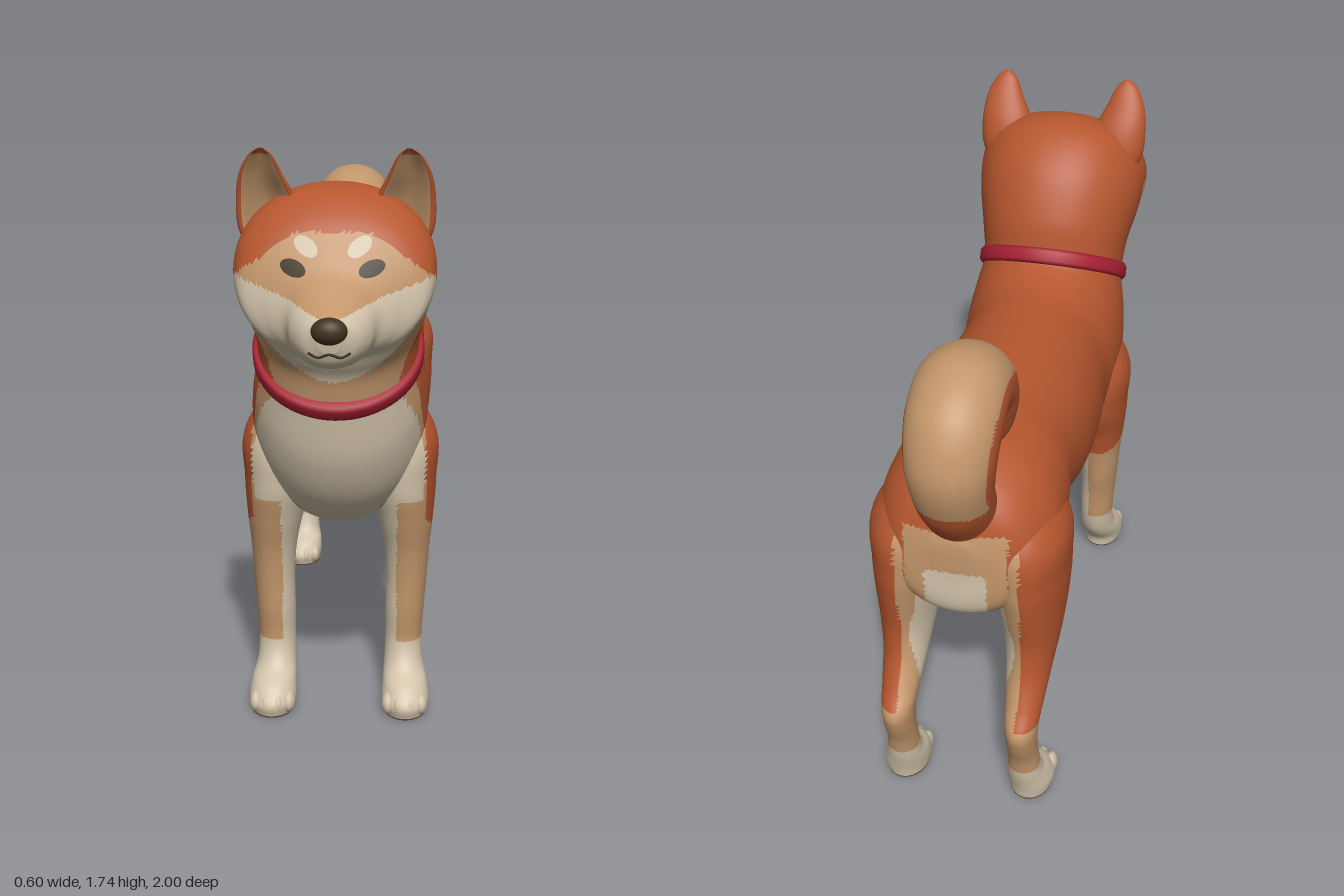
import * as THREE from 'three';

const mat = (name, color) => Object.assign(new THREE.MeshStandardMaterial({ color }), { name });
const rust = mat('rust fur', 0xb5562e);
const tan = mat('tan fur', 0xc2956a);
const cream = mat('cream fur', 0xd2c3aa);
const red = mat('collar red', 0xa62032);
const dark = mat('dark brown', 0x40331f);
const pad = mat('paw pad', 0x84644a);
const FUR = [rust, tan, cream, pad];
const RUST = 0, TAN = 1, CREAM = 2, PAD = 3;

// Smooth skin over elliptical rings. Each section: [x, topY, topZ, bottomY, bottomZ, halfWidth].
// paint(x, y, z, angle) picks the fur colour of every face.
function loft(name, sections, rows, seg, paint, shape = a => [Math.cos(a), Math.sin(a)]) {
  const tops = new THREE.CatmullRomCurve3(sections.map(s => new THREE.Vector3(s[0], s[1], s[2])), false, 'catmullrom');
  const bots = new THREE.CatmullRomCurve3(sections.map(s => new THREE.Vector3(s[5], s[3], s[4])), false, 'catmullrom');
  const pos = [], buckets = FUR.map(() => []);
  for (let i = 0; i <= rows; i++) {
    const t = tops.getPoint(i / rows), b = bots.getPoint(i / rows);
    for (let j = 0; j < seg; j++) {
      const [c, s] = shape((j / seg) * Math.PI * 2);
      pos.push(t.x + b.x * c, (t.y + b.y) / 2 + (t.y - b.y) / 2 * s, (t.z + b.z) / 2 + (t.z - b.z) / 2 * s);
    }
  }
  const capStart = pos.length / 3;
  for (const i of [0, 1]) {
    const t = tops.getPoint(i), b = bots.getPoint(i);
    pos.push(t.x, (t.y + b.y) / 2, (t.z + b.z) / 2);
  }
  const face = (a, b, c, angle) => {
    const mid = [0, 1, 2].map(k => (pos[a * 3 + k] + pos[b * 3 + k] + pos[c * 3 + k]) / 3);
    buckets[paint(...mid, angle)].push(a, b, c);
  };
  for (let j = 0; j < seg; j++) {
    const k = (j + 1) % seg, angle = ((j + 0.5) / seg) * Math.PI * 2;
    for (let i = 0; i < rows; i++) {
      const a = i * seg + j, b = i * seg + k;
      face(a, b, b + seg, angle);
      face(a, b + seg, a + seg, angle);
    }
    face(capStart, k, j, angle);
    face(capStart + 1, rows * seg + j, rows * seg + k, angle);
  }
  const geo = new THREE.BufferGeometry();
  geo.setAttribute('position', new THREE.Float32BufferAttribute(pos, 3));
  geo.setIndex(buckets.flat());
  let start = 0;
  buckets.forEach((list, m) => {
    if (list.length) geo.addGroup(start, list.length, m);
    start += list.length;
  });
  geo.computeVertexNormals();
  const mesh = new THREE.Mesh(geo, FUR);
  mesh.name = name;
  return mesh;
}

// Horizontal ring for legs and ears: y, x, z, half width, half depth
const ring = side => ([y, x, z, rx, rz]) => [side * x, y, z + rz, y, z - rz, rx];

function paintBody(px, y, z) {
  const x = Math.abs(px);
  if ((y - 1.145) * 0.83 + (z - 0.47) * 0.56 > 0) { // head
    if (z < 0.61 || y > 1.53 - 0.7 * Math.max(0, x - 0.1)) return RUST;
    if (z > 0.69 && y < 1.33 + 0.3 * x) return CREAM;
    return TAN;
  }
  if (z > 0.25) { // chest
    if (z > 0.47 + Math.max(0, y - 0.9) * 0.9 || y < 0.65) return CREAM;
    return z > 0.42 + Math.max(0, y - 0.85) * 0.5 || y < 0.7 ? TAN : RUST;
  }
  if (z < -0.76 && x < 0.15 && y < 1.03) return x < 0.09 && y < 0.9 ? CREAM : TAN;
  const line = 0.725 - 0.12 * z; // belly
  return y < line - 0.06 ? CREAM : y < line ? TAN : RUST;
}

function paintFrontLeg(px, y, z) {
  const x = Math.abs(px);
  if (y < 0.004) return PAD;
  if (y < 0.2 || (x < 0.175 && y < 0.68)) return CREAM;
  if (y > 0.68 && z > 0.46) return CREAM;
  return y < 0.57 + (z - 0.36) * 0.5 || (z > 0.43 && x < 0.26) ? TAN : RUST;
}

function paintHindLeg(px, y, z) {
  const x = Math.abs(px);
  if (y < 0.004) return PAD;
  if (y < 0.15 + Math.max(0, z + 0.85) * 0.5) return CREAM;
  if (x < 0.165 && y < 0.82) return z < -0.83 && x > 0.13 ? TAN : CREAM;
  if (z < -0.78 && x < 0.18 && y < 1) return TAN;
  return y > 0.36 + Math.max(0, z + 0.83) * 1.25 ? RUST : TAN;
}

export function createModel() {
  const dog = new THREE.Group();
  dog.name = 'dog';
  const add = (name, geo, material) => {
    const m = new THREE.Mesh(geo, material);
    m.name = name;
    dog.add(m);
    return m;
  };

  // Rump, trunk, neck, head and muzzle in one skin: topY, topZ, bottomY, bottomZ, half width
  const body = loft('body', [
    [1.0, -0.885, 0.9, -0.885, 0.05], [1.13, -0.83, 0.75, -0.87, 0.19], [1.2, -0.7, 0.69, -0.75, 0.26],
    [1.22, -0.55, 0.71, -0.58, 0.26], [1.22, -0.4, 0.72, -0.42, 0.245], [1.22, -0.2, 0.645, -0.2, 0.26],
    [1.22, 0, 0.6, 0, 0.258], [1.225, 0.12, 0.575, 0.2, 0.248], [1.24, 0.19, 0.59, 0.4, 0.262],
    [1.255, 0.23, 0.68, 0.54, 0.262], [1.265, 0.25, 0.83, 0.63, 0.25], [1.285, 0.27, 1.01, 0.67, 0.234],
    [1.4, 0.3, 1.1, 0.69, 0.243], [1.54, 0.38, 1.15, 0.72, 0.265], [1.63, 0.5, 1.18, 0.74, 0.277],
    [1.635, 0.62, 1.19, 0.76, 0.276], [1.57, 0.72, 1.19, 0.79, 0.25], [1.48, 0.785, 1.19, 0.82, 0.18],
    [1.425, 0.83, 1.19, 0.86, 0.128], [1.375, 0.9, 1.195, 0.91, 0.105], [1.345, 0.955, 1.215, 0.95, 0.075],
    [1.32, 0.98, 1.25, 0.97, 0.03],
  ].map(s => [0, ...s]), 190, 96, paintBody, a => [Math.cos(a), Math.sin(a)].map(v => Math.sign(v) * Math.abs(v) ** 0.95));
  dog.add(body);

  for (const side of [1, -1]) {
    const label = side > 0 ? 'left' : 'right';
    dog.add(loft(label + 'FrontLeg', [
      [1.05, 0.13, 0.33, 0.05, 0.06], [0.87, 0.18, 0.34, 0.11, 0.15], [0.72, 0.19, 0.345, 0.103, 0.15],
      [0.6, 0.2, 0.355, 0.085, 0.115], [0.5, 0.205, 0.355, 0.07, 0.092], [0.4, 0.205, 0.357, 0.063, 0.08],
      [0.3, 0.2, 0.365, 0.06, 0.07], [0.2, 0.197, 0.367, 0.057, 0.063], [0.13, 0.198, 0.39, 0.06, 0.07],
      [0.085, 0.203, 0.435, 0.068, 0.09], [0.04, 0.205, 0.47, 0.073, 0.092], [0, 0.205, 0.47, 0.066, 0.085],
    ].map(ring(side)), 90, 48, paintFrontLeg));
    dog.add(loft(label + 'HindLeg', [
      [1.12, 0.12, -0.68, 0.05, 0.06], [0.97, 0.165, -0.68, 0.118, 0.18], [0.83, 0.178, -0.675, 0.113, 0.197],
      [0.72, 0.185, -0.68, 0.102, 0.178], [0.6, 0.19, -0.705, 0.085, 0.135], [0.5, 0.19, -0.752, 0.07, 0.1],
      [0.41, 0.19, -0.825, 0.058, 0.072], [0.345, 0.19, -0.872, 0.05, 0.072], [0.28, 0.19, -0.872, 0.047, 0.062],
      [0.2, 0.19, -0.852, 0.047, 0.052], [0.12, 0.192, -0.832, 0.053, 0.058], [0.08, 0.195, -0.8, 0.065, 0.08],
      [0.04, 0.2, -0.778, 0.072, 0.092], [0, 0.2, -0.778, 0.066, 0.085],
    ].map(ring(side)), 100, 48, paintHindLeg));

    // Toes
    for (const z of [0.53, -0.715]) {
      for (const dx of [-0.05, -0.018, 0.018, 0.05]) {
        const toe = add(label + 'Toe', new THREE.SphereGeometry(1, 14, 10), cream);
        toe.scale.set(0.021, 0.034, 0.038);
        toe.position.set(side * 0.203 + dx, 0.036, z - Math.abs(dx) * 0.4);
      }
    }

    // Ear with a hollow tan inside
    dog.add(loft(label + 'Ear', [
      [1.743, 0.2, 0.672, 0.008, 0.008], [1.722, 0.202, 0.662, 0.034, 0.018], [1.67, 0.203, 0.64, 0.06, 0.033],
      [1.6, 0.192, 0.615, 0.082, 0.05], [1.52, 0.185, 0.6, 0.086, 0.06], [1.45, 0.17, 0.59, 0.07, 0.05],
    ].map(ring(side)), 40, 40,
    (x, y, z, a) => (Math.sin(a) > 0.55 && y < 1.725 ? TAN : RUST),
    a => {
      const s = Math.sin(a);
      return [Math.cos(a), s > 0 ? s * (1 - 1.5 * s * s) : s];
    }));
  }

  // Curled tail: path y, z, radius
  const path = [
    [1.06, -0.79, 0.1], [1.17, -0.86, 0.105], [1.28, -0.882, 0.115], [1.375, -0.84, 0.122], [1.42, -0.75, 0.123],
    [1.39, -0.665, 0.122], [1.31, -0.628, 0.116], [1.235, -0.645, 0.095], [1.2, -0.7, 0.05], [1.2, -0.73, 0.015],
  ];
  dog.add(loft('tail', path.map(([y, z, r], i) => {
    const p = path[Math.max(0, i - 1)], n = path[Math.min(path.length - 1, i + 1)];
    const dy = n[0] - p[0], dz = n[1] - p[1], k = r / Math.hypot(dy, dz);
    return [0, y + dz * k, z - dy * k, y - dz * k, z + dy * k, r * 1.08];
  }), 110, 56, (x, y, z) => (y > 1.15 && Math.hypot(y - 1.27, z + 0.74) > 0.19 ? TAN : RUST)));

  // Collar band around the neck
  const band = [[0.225, -0.026], [0.255, -0.026], [0.263, -0.015], [0.263, 0.015], [0.255, 0.026], [0.225, 0.026]];
  const collar = add('collar', new THREE.LatheGeometry(band.map(p => new THREE.Vector2(...p)), 64), red);
  collar.scale.x = 0.95;
  collar.rotation.x = 0.59;
  collar.position.set(0, 1.147, 0.47);

  // Face details follow the head surface
  const ray = new THREE.Raycaster();
  const surfaceZ = (x, y) => {
    ray.set(new THREE.Vector3(x, y, 2), new THREE.Vector3(0, 0, -1));
    const hit = ray.intersectObject(body)[0];
    return hit ? hit.point.z : 0.75;
  };
  const patch = (name, cx, cy, rx, ry, tilt, lift, material) => {
    const geo = new THREE.RingGeometry(0.001, 1, 20, 3);
    geo.scale(rx, ry, 1).rotateZ(tilt).translate(cx, cy, 0);
    const p = geo.attributes.position;
    for (let i = 0; i < p.count; i++) p.setZ(i, surfaceZ(p.getX(i), p.getY(i)) + lift);
    geo.computeVertexNormals();
    add(name, geo, material);
  };
  for (const side of [1, -1]) {
    patch('eye', side * 0.105, 1.442, 0.036, 0.021, side * 0.3, 0.007, dark);
    patch('browSpot', side * 0.072, 1.495, 0.036, 0.022, side * 0.6, 0.004, cream);
  }

  // Nose and mouth
  const nose = add('nose', new THREE.SphereGeometry(1, 24, 16), dark);
  nose.scale.set(0.048, 0.036, 0.034);
  nose.position.set(0, 1.308, 0.966);
  const lip = [[-0.055, 1.25], [-0.03, 1.238], [0, 1.248], [0.03, 1.238], [0.055, 1.25]]
    .map(([x, y]) => new THREE.Vector3(x, y, surfaceZ(x, y)));
  add('mouth', new THREE.TubeGeometry(new THREE.CatmullRomCurve3(lip), 24, 0.004, 6), dark);

  return dog;
}
